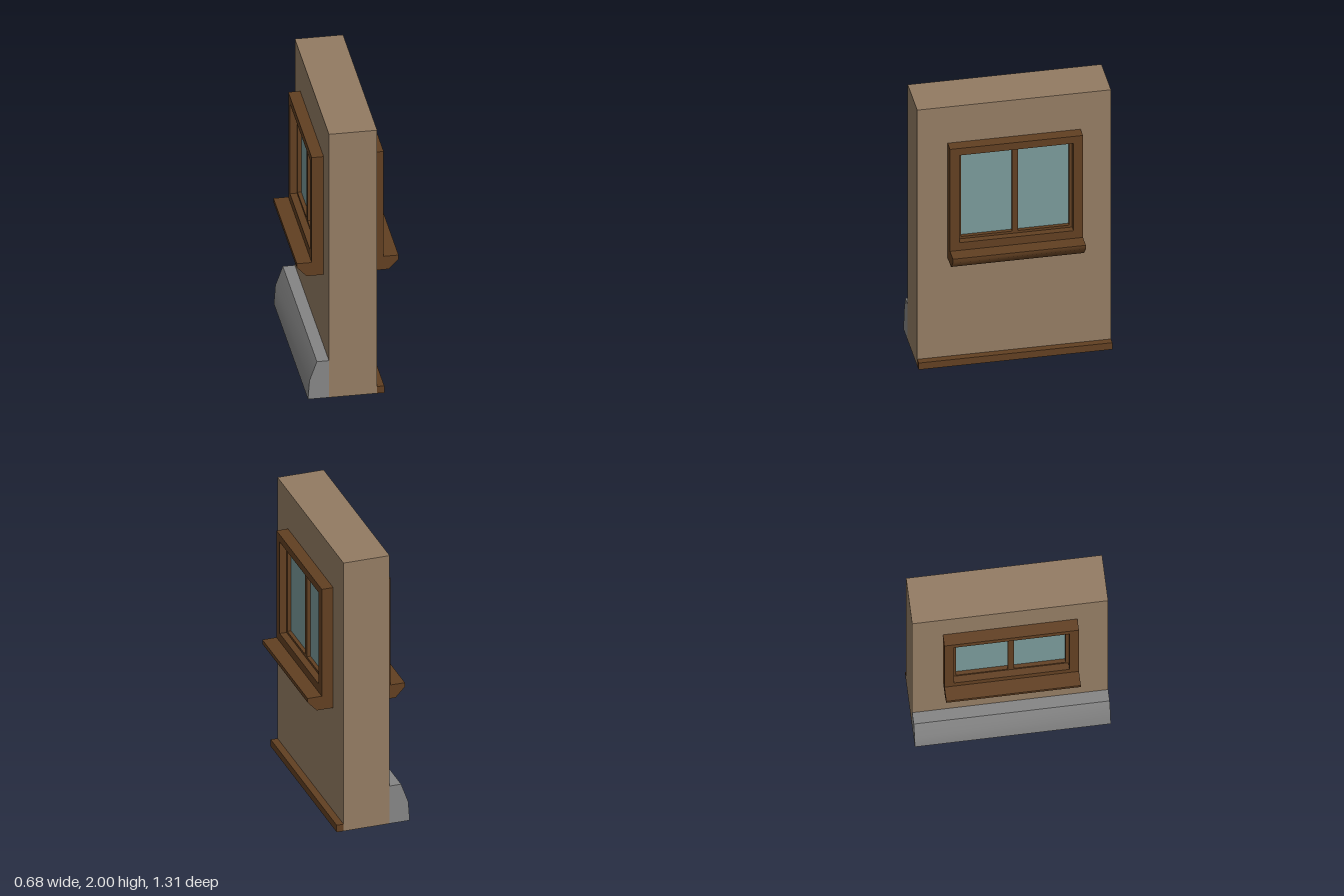
import * as THREE from 'three';
import { toCreasedNormals } from 'three/addons/utils/BufferGeometryUtils.js';

const material = (name, color) => {
  const m = new THREE.MeshStandardMaterial({ color });
  m.name = name;
  return m;
};

const WALL_X = 0.162, HALF_Z = 0.654;

export function createModel() {
  const plaster = material('plaster', 0x927b62);
  const wood = material('darkWood', 0x613f21);
  const stone = material('greyStone', 0x848484);
  const glass = material('glass', 0x789898);

  const add = (parent, name, geometry, mat) => {
    const mesh = new THREE.Mesh(geometry, mat);
    mesh.name = name;
    parent.add(mesh);
    return mesh;
  };

  // Box given by its lower and upper corners
  const box = (x0, x1, y0, y1, z0, z1) =>
    new THREE.BoxGeometry(x1 - x0, y1 - y0, z1 - z0)
      .translate((x0 + x1) / 2, (y0 + y1) / 2, (z0 + z1) / 2);

  // Moulding: an x-y profile run along z, soft across shallow bends
  const moulding = (points, halfLength) => {
    const shape = new THREE.Shape(points.map(([x, y]) => new THREE.Vector2(x, y)));
    const geometry = new THREE.ExtrudeGeometry(shape, { depth: halfLength * 2, bevelEnabled: false });
    return toCreasedNormals(geometry.translate(0, 0, -halfLength), Math.PI / 4);
  };

  // Rectangular ring in the z-y plane, from x0 to x1
  const rectangle = (Type, half, y0, y1) => new Type([
    new THREE.Vector2(-half, y0), new THREE.Vector2(half, y0),
    new THREE.Vector2(half, y1), new THREE.Vector2(-half, y1),
  ]);
  const ring = (outer, inner, x0, x1) => {
    const shape = rectangle(THREE.Shape, ...outer);
    shape.holes.push(rectangle(THREE.Path, ...inner));
    return new THREE.ExtrudeGeometry(shape, { depth: x1 - x0, bevelEnabled: false })
      .rotateY(Math.PI / 2).translate(x0, 0, 0);
  };

  const model = new THREE.Group();
  model.name = 'windowWall';

  add(model, 'wall', box(-WALL_X, WALL_X, 0, 2, -HALF_Z, HALF_Z), plaster);

  // The same window on both faces of the wall
  for (const [name, turn] of [['leftWindow', 0], ['rightWindow', Math.PI]]) {
    const unit = new THREE.Group();
    unit.name = name;
    unit.rotation.y = turn;
    add(unit, 'windowFrame', ring([0.449, 0.92, 1.717], [0.385, 0.98, 1.662], WALL_X, 0.242), wood);
    add(unit, 'sash', ring([0.385, 0.98, 1.662], [0.365, 0.997, 1.642], WALL_X, 0.195), wood);
    add(unit, 'mullion', box(WALL_X, 0.195, 0.997, 1.642, -0.02, 0.02), wood);
    for (const side of [-1, 1]) {
      const pane = box(WALL_X, 0.169, 0.997, 1.642, -0.1725, 0.1725);
      add(unit, 'pane', pane, glass).position.z = side * 0.1925;
    }
    add(unit, 'sill', moulding(
      [[WALL_X, 0.82], [0.277, 0.82], [0.342, 0.89], [0.342, 0.92], [WALL_X, 0.92]], 0.449), wood);
    model.add(unit);
  }

  // Wooden skirting on one face, stone plinth on the other
  add(model, 'skirting', box(WALL_X, 0.21, 0, 0.052, -HALF_Z, HALF_Z), wood);
  add(model, 'plinth', moulding(
    [[-WALL_X, 0], [-WALL_X, 0.28], [-0.243, 0.28], [-0.293, 0.14], [-0.303, 0]], HALF_Z), stone);

  return model;
}
